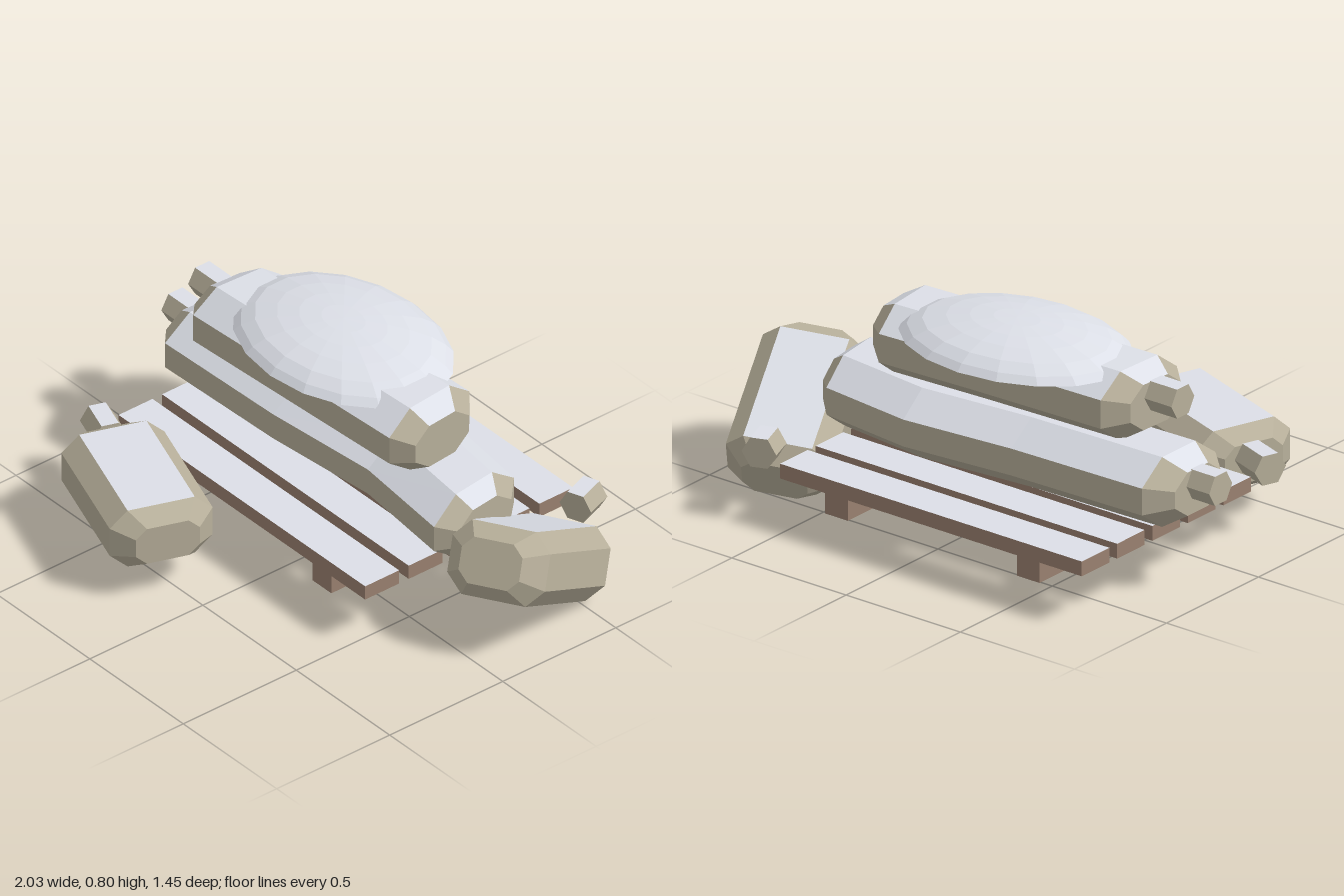
import * as THREE from 'three';

const mat = (name, color) => {
  const m = new THREE.MeshStandardMaterial({ color, flatShading: true });
  m.name = name;
  return m;
};

export function createModel() {
  const model = new THREE.Group();
  const cloth = mat('sackcloth', 0xb8b09b);
  const snow = mat('snow', 0xdfe2ea);
  const wood = mat('pallet wood', 0x9a8170);

  const add = (name, geo, material, parent = model) => {
    const m = new THREE.Mesh(geo, material);
    m.name = name;
    parent.add(m);
    return m;
  };

  // Splits triangles into bare (0) and snowy (1) groups by how far they face up
  const snowGeometry = (tris, limit) => {
    const lists = [[], []];
    const n = new THREE.Vector3();
    for (const [a, b, c] of tris) {
      new THREE.Triangle(a, b, c).getNormal(n);
      lists[n.y > limit ? 1 : 0].push(a, b, c);
    }
    const g = new THREE.BufferGeometry().setFromPoints([...lists[0], ...lists[1]]);
    g.addGroup(0, lists[0].length, 0);
    g.addGroup(lists[0].length, lists[1].length, 1);
    g.computeVertexNormals();
    return g;
  };

  // Sack along x: rings are [x, y, z, scale, yaw], section is a chamfered rectangle
  const sackGeometry = (rings, w, h, cw, ch, limit) => {
    const section = [[w, ch - h], [w, h - ch], [w - cw, h], [cw - w, h],
      [-w, h - ch], [-w, ch - h], [cw - w, -h], [w - cw, -h]];
    const loops = rings.map(([x, y, z, s, yaw = 0]) => section.map(([pz, py]) =>
      new THREE.Vector3(x + pz * s * Math.sin(yaw), y + py * s, z + pz * s * Math.cos(yaw))));
    const tris = [];
    for (let i = 0; i < loops.length - 1; i++) {
      for (let k = 0; k < 8; k++) {
        const j = (k + 1) % 8;
        const [a, b, c, d] = [loops[i][k], loops[i][j], loops[i + 1][j], loops[i + 1][k]];
        tris.push([a, d, c], [a, c, b]);
      }
    }
    const first = loops[0], last = loops[loops.length - 1];
    for (let k = 1; k < 7; k++) {
      tris.push([first[0], first[k], first[k + 1]], [last[0], last[k + 1], last[k]]);
    }
    return snowGeometry(tris, limit);
  };

  // Tied neck: hexagonal stub with an edge on top
  const neck = (name, x, y, z, yaw = 0, length = 0.13) => {
    const g = new THREE.CylinderGeometry(0.0625, 0.0625, length, 6).toNonIndexed();
    g.rotateZ(Math.PI / 2);
    const p = g.attributes.position, tris = [];
    for (let i = 0; i < p.count; i += 3) {
      tris.push([0, 1, 2].map(k => new THREE.Vector3().fromBufferAttribute(p, i + k)));
    }
    const m = add(name, snowGeometry(tris, 0.75), [cloth, snow]);
    m.position.set(x, y, z);
    m.rotation.y = yaw;
  };

  // Pallet: five snowy planks on two runners
  const pallet = new THREE.Group();
  pallet.name = 'pallet';
  model.add(pallet);
  for (let i = 0; i < 5; i++) {
    const plank = add('plank', new THREE.BoxGeometry(1.32, 0.055, 0.15),
      [wood, wood, snow, wood, wood, wood], pallet);
    plank.position.set(-0.13, 0.2125, -0.625 + i * 0.1925);
  }
  for (const x of [-0.55, 0.29]) {
    add('runner', new THREE.BoxGeometry(0.1, 0.08, 0.905),
      [wood, wood, snow, wood, wood, wood], pallet).position.set(x, 0.145, -0.24);
  }

  // Lower sack, sagging into a slight bend
  add('lowerSack', sackGeometry([
    [-0.9, 0.37, -0.205, 0.62], [-0.82, 0.37, -0.21, 1], [-0.26, 0.37, -0.225, 1],
    [0.19, 0.37, -0.265, 1, 0.05], [0.58, 0.37, -0.22, 1, 0.13], [0.645, 0.37, -0.215, 0.66, 0.13],
  ], 0.2, 0.13, 0.11, 0.08, 0.75), [cloth, snow]);
  neck('lowerNeck', -0.935, 0.4, -0.205);

  // Upper sack
  add('upperSack', sackGeometry([
    [-0.675, 0.615, -0.155, 0.66, -0.05], [-0.605, 0.615, -0.16, 1, -0.05],
    [-0.035, 0.62, -0.185, 1, 0.03], [0.36, 0.62, -0.205, 1, 0.1], [0.44, 0.62, -0.195, 0.66, 0.1],
  ], 0.195, 0.128, 0.1, 0.075, 0.75), [cloth, snow]);
  neck('upperNeck', -0.725, 0.648, -0.15);

  // Loose sacks lying beside the pallet
  const looseRings = [[-0.307, 0, 0, 0.62], [-0.24, 0, 0, 1], [0.24, 0, 0, 1], [0.307, 0, 0, 0.62]];
  const frontSack = add('frontSack',
    sackGeometry(looseRings, 0.187, 0.116, 0.065, 0.06, 0.9), [cloth, snow]);
  frontSack.position.set(-0.407, 0.225, 0.455);
  frontSack.rotation.y = -0.34;
  neck('frontNeck', -0.755, 0.25, 0.315, -0.34);

  const fallenSack = add('fallenSack',
    sackGeometry(looseRings, 0.187, 0.13, 0.065, 0.065, 0.9), [cloth, snow]);
  fallenSack.position.set(0.765, 0.24, -0.31);
  fallenSack.rotation.set(0.1, -1.2, 0.505, 'YZX');
  neck('fallenNeck', 0.63, 0.262, -0.663, -1.22, 0.11);

  // Snow drift on top of the pile
  const profile = [[0, 0], [1, 0], [0.93, 0.025], [0.8, 0.052], [0.6, 0.073],
    [0.4, 0.086], [0.2, 0.093], [0, 0.095]].map(([r, y]) => new THREE.Vector2(r, y));
  const drift = add('snowDrift', new THREE.LatheGeometry(profile, 18), snow);
  drift.scale.set(0.45, 1, 0.325);
  drift.position.set(-0.125, 0.71, -0.225);

  return model;
}
